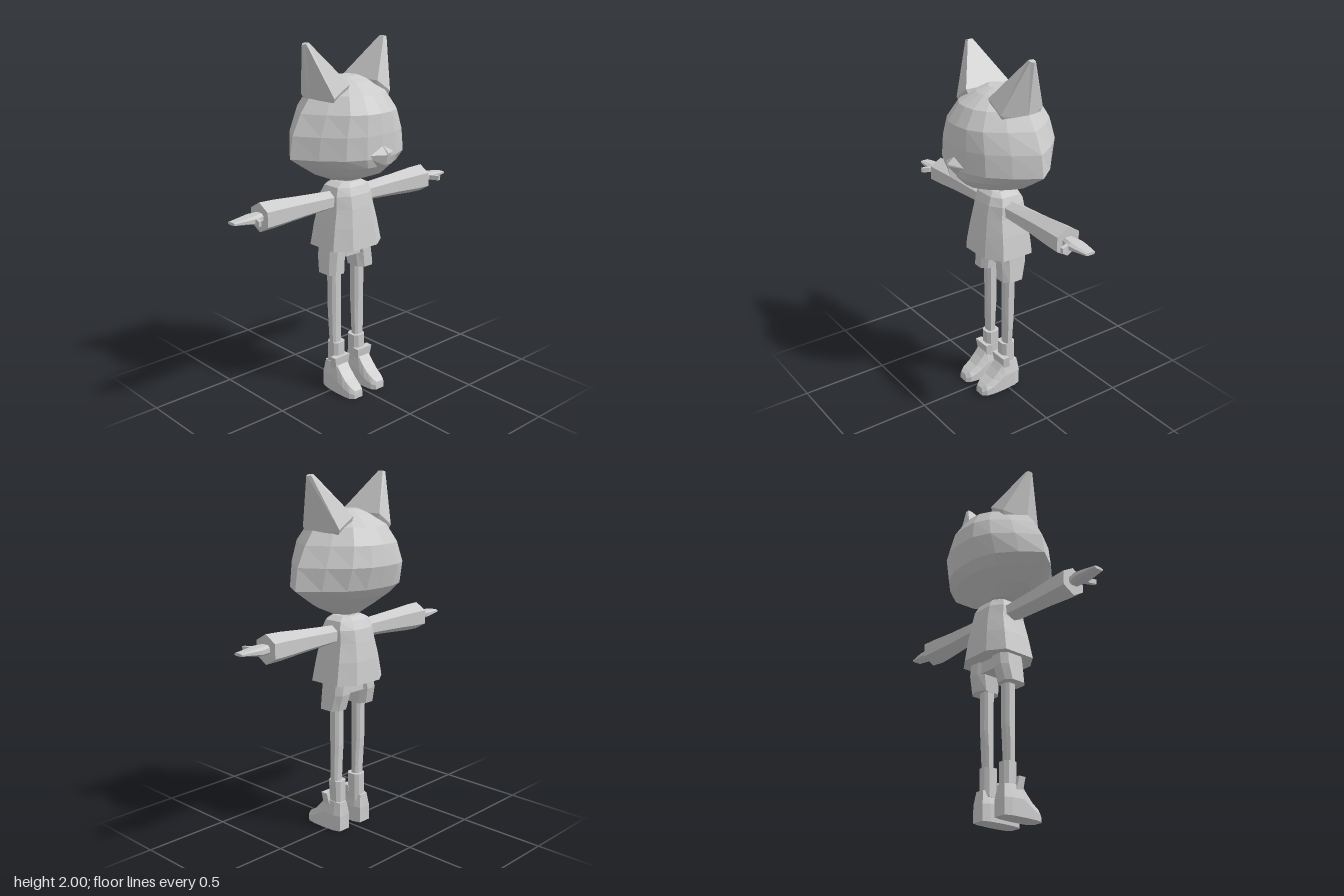
import * as THREE from 'three';

const material = new THREE.MeshStandardMaterial({ color: 0xcccccc, flatShading: true });
const CX = -0.025; // middle of the body along x; the figure faces +x

// Closed skin over a list of rings with equal point counts, wound outwards.
function loft(name, rings) {
  const n = rings[0].length, tris = [];
  const tri = (a, b, c) => tris.push([a, b, c]);
  for (let i = 0; i + 1 < rings.length; i++) {
    const a = rings[i], b = rings[i + 1];
    for (let j = 0; j < n; j++) {
      const k = (j + 1) % n;
      tri(a[j], a[k], b[k]);
      tri(a[j], b[k], b[j]);
    }
  }
  const middle = (r) => [0, 1, 2].map((d) => r.reduce((s, p) => s + p[d], 0) / n);
  const first = rings[0], last = rings[rings.length - 1];
  const m0 = middle(first), m1 = middle(last);
  for (let j = 0; j < n; j++) {
    const k = (j + 1) % n;
    tri(m0, first[k], first[j]);
    tri(m1, last[j], last[k]);
  }
  // A negative volume means the skin is inside out
  const v = (p) => new THREE.Vector3(...p);
  const volume = tris.reduce((s, [a, b, c]) => s + v(a).dot(v(b).cross(v(c))), 0);
  const ordered = volume < 0 ? tris.map(([a, b, c]) => [a, c, b]) : tris;
  const geometry = new THREE.BufferGeometry();
  geometry.setAttribute('position', new THREE.Float32BufferAttribute(ordered.flat(2), 3));
  geometry.computeVertexNormals();
  const mesh = new THREE.Mesh(geometry, material);
  mesh.name = name;
  return mesh;
}

// Level ring through outline points, given its x and z extents
const level = (outline, y, x0, x1, z0, z1) => outline.map(([u, w]) => [
  (x0 + x1) / 2 + u * (x1 - x0) / 2, y, (z0 + z1) / 2 + w * (z1 - z0) / 2]);

// Upright ring across an arm
const across = (outline, z, x0, x1, y0, y1) => level(outline, z, x0, x1, y0, y1).map(([x, d, y]) => [x, y, d]);

const polygon = (n, turn = 0) => Array.from({ length: n }, (_, i) => {
  const a = turn + i / n * Math.PI * 2;
  return [Math.cos(a), Math.sin(a)];
});
const hex = polygon(6, Math.PI / 6);
const oct = [[1, -0.5], [1, 0.5], [0.6, 1], [-0.6, 1], [-1, 0.5], [-1, -0.5], [-0.6, -1], [0.6, -1]];

function makeHead() {
  const head = new THREE.Group();
  head.name = 'head';
  // Lens-shaped rings with pointed cheeks
  const quarter = [[1, 0], [0.97, 0.27], [0.8, 0.53], [0.45, 0.78], [0, 1]];
  const half = [...quarter, ...quarter.slice(0, 4).reverse().map(([u, w]) => [-u, w])];
  const lens = [...half, ...half.slice(1, -1).reverse().map(([u, w]) => [u, -w])];
  const rows = [ // y, back, front, half width
    [1.25, -0.09, 0.06, 0.1], [1.3, -0.15, 0.19, 0.22], [1.36, -0.23, 0.25, 0.315],
    [1.41, -0.27, 0.265, 0.39], [1.53, -0.305, 0.262, 0.37], [1.64, -0.285, 0.25, 0.315],
    [1.73, -0.23, 0.19, 0.245], [1.785, -0.14, 0.1, 0.14], [1.81, -0.08, 0.03, 0.07]];
  head.add(loft('skull', rows.map(([y, back, front, w]) => lens.map(([u, s]) => [
    CX + u * (u > 0 ? front - CX : CX - back), y, s * w]))));
  // Pointed muzzle wedge
  head.add(loft('muzzle', [
    [[0.25, 1.485, 0], [0.235, 1.43, 0.12], [0.19, 1.3, 0], [0.235, 1.43, -0.12]],
    [[0.305, 1.44, 0], [0.304, 1.43, 0.005], [0.29, 1.37, 0], [0.304, 1.43, -0.005]]]));
  return head;
}

function makeEar(s) {
  const base = [[-0.165, 1.785, 0.1], [-0.16, 1.72, 0.2], [CX, 1.69, 0.255], [0.11, 1.72, 0.2], [0.115, 1.785, 0.1]];
  const tip = [[-0.04, 2, 0.265], [-0.042, 1.995, 0.285], [CX, 1.99, 0.296], [-0.008, 1.995, 0.285], [-0.01, 2, 0.265]];
  const sunk = base.map(([x, y, z]) => [CX + (x - CX) * 0.8, y - 0.06, z * 0.95]);
  return loft('ear', [sunk, base, tip].map((r) => r.map(([x, y, z]) => [x, y, z * s])));
}

function makeArm(s) {
  const arm = new THREE.Group();
  arm.name = s < 0 ? 'leftArm' : 'rightArm';
  const sleeve = [ // distance out, half depth, half height
    [0.06, 0.055, 0.05], [0.14, 0.06, 0.052], [0.36, 0.065, 0.066], [0.5, 0.076, 0.077], [0.597, 0.081, 0.08]];
  arm.add(loft('sleeve', sleeve.map(([z, a, b]) => across(hex, s * z, CX - a, CX + a, 1.14 - b, 1.14 + b))));
  const palm = [[0.58, -0.052, 0.005, 1.12, 1.165], [0.605, -0.057, 0.012, 1.117, 1.167],
    [0.655, -0.07, 0.025, 1.12, 1.165], [0.7, -0.064, 0.02, 1.128, 1.16], [0.775, -0.05, 0.008, 1.137, 1.152]];
  arm.add(loft('hand', palm.map(([z, ...e]) => across(oct, s * z, ...e))));
  // Thumb bends forward and outward
  const thumb = [[0, 0.63, 0.66], [0.035, 0.637, 0.66], [0.07, 0.655, 0.672]];
  arm.add(loft('thumb', thumb.map(([x, a, b]) => [
    [x, 1.128, s * a], [x, 1.128, s * b], [x, 1.155, s * b], [x, 1.155, s * a]])));
  return arm;
}

function makeLeg(s) {
  const leg = new THREE.Group();
  leg.name = s < 0 ? 'leftLeg' : 'rightLeg';
  const stack = (name, outline, rows) => leg.add(loft(name, rows.map(([y, x0, x1, z0, z1]) =>
    level(outline, y, x0, x1, s * z0, s * z1))));
  stack('shortsLeg', oct, [[0.9, -0.115, 0.045, 0.02, 0.15], [0.81, -0.115, 0.045, 0.042, 0.158],
    [0.72, -0.092, 0.045, 0.05, 0.167]]);
  stack('shin', oct, [[0.76, -0.062, 0.005, 0.052, 0.122], [0.5, -0.06, 0.004, 0.053, 0.12],
    [0.4, -0.052, 0.003, 0.053, 0.12], [0.25, -0.045, 0.002, 0.055, 0.115]]);
  stack('sock', oct, [[0.29, -0.066, 0.02, 0.037, 0.118], [0.13, -0.066, 0.02, 0.037, 0.118]]);
  // Shoe sections from heel to toe
  const rows = [ // x, half width, height
    [-0.09, 0.035, 0.02, -0.075], [-0.085, 0.038, 0.165, -0.075], [-0.045, 0.052, 0.168, -0.045],
    [0.03, 0.057, 0.172, 0.03], [0.065, 0.057, 0.13, 0.065], [0.105, 0.056, 0.09, 0.105],
    [0.15, 0.05, 0.062, 0.15], [0.175, 0.03, 0.045, 0.172]].slice(1);
  leg.add(loft('shoe', rows.map(([x, w, h, top]) => [
    [x, 0, -w], [x, h * 0.55, -w], [top, h, -w * 0.7], [top, h, w * 0.7], [x, h * 0.55, w], [x, 0, w],
  ].map(([a, y, z]) => [a, y, s * 0.085 + z]))));
  stack('shoeTongue', polygon(4, Math.PI / 4).map(([u, w]) => [u * 1.414, w * 1.414]),
    [[0.14, -0.01, 0.035, 0.04, 0.13], [0.212, 0.0, 0.042, 0.032, 0.142]]);
  return leg;
}

export function createModel() {
  const model = new THREE.Group();
  model.name = 'figure';
  model.add(makeHead());
  // Neck and flared shirt
  model.add(loft('neck', [1.2, 1.28].map((y) => level(hex, y, -0.07, 0.03, -0.045, 0.045))));
  const shirt = [[0.875, -0.185, 0.135, 0.18], [1.0, -0.172, 0.118, 0.158], [1.1, -0.155, 0.102, 0.135],
    [1.17, -0.14, 0.088, 0.128], [1.215, -0.115, 0.068, 0.11], [1.237, -0.085, 0.042, 0.07]];
  model.add(loft('shirt', shirt.map(([y, x0, x1, w]) => level(oct, y, x0, x1, -w, w))));
  // Shorts seat joining both legs
  model.add(loft('shortsSeat', [0.81, 0.9].map((y) => level(oct, y, -0.1, 0.035, -0.1, 0.1))));
  for (const s of [-1, 1]) model.add(makeEar(s), makeArm(s), makeLeg(s));
  return model;
}
